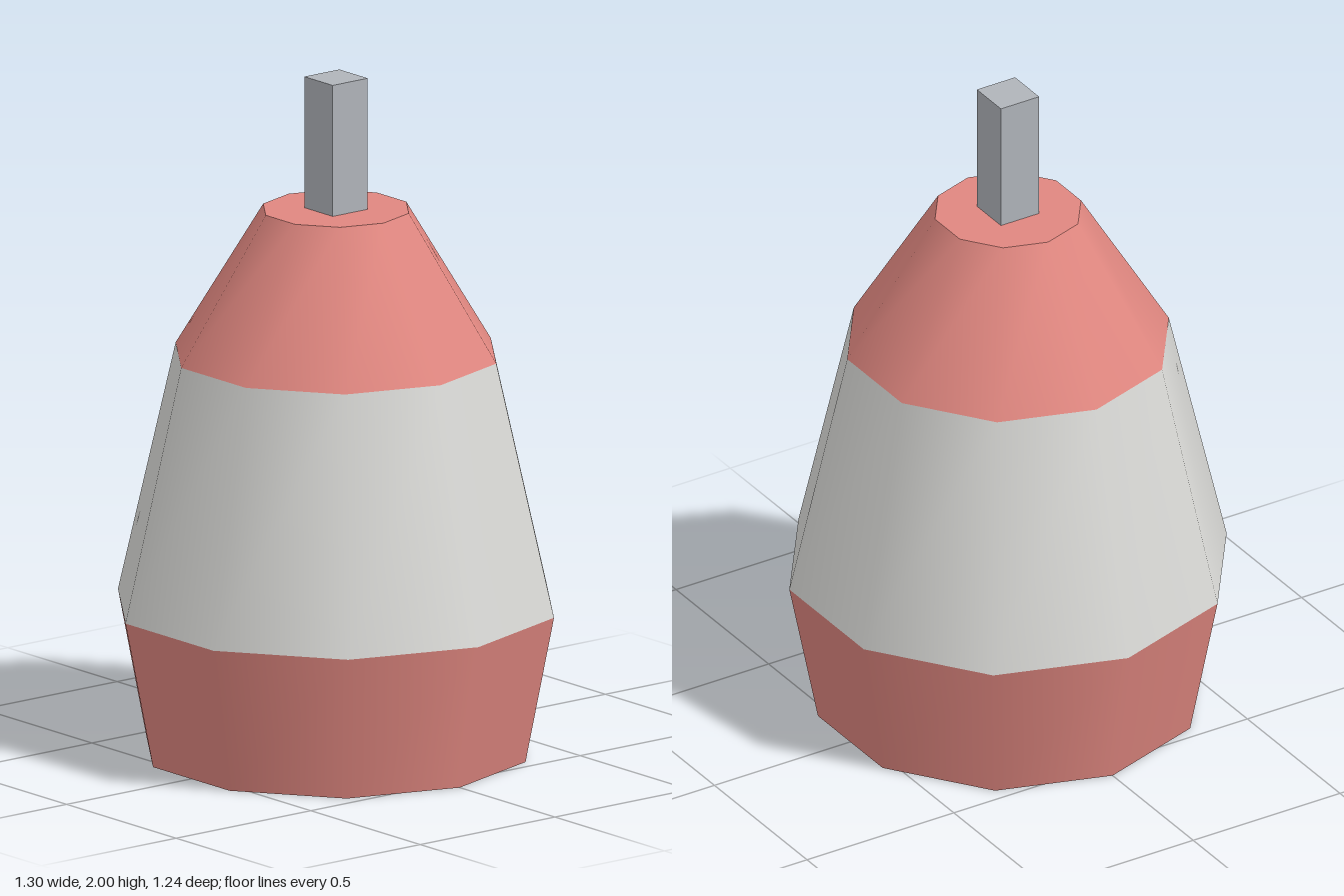
import * as THREE from 'three';

export function createModel() {
  const model = new THREE.Group();
  model.name = 'buoy';

  const red = new THREE.MeshStandardMaterial({ color: 0xe08780 });
  red.name = 'faded red';
  const white = new THREE.MeshStandardMaterial({ color: 0xdadad7 });
  white.name = 'off white';
  const steel = new THREE.MeshStandardMaterial({ color: 0xb0b4ba });
  steel.name = 'grey';

  const SIDES = 10;
  const START = Math.PI / 2; // puts corners on the x axis

  function add(name, geometry, material, y) {
    const mesh = new THREE.Mesh(geometry, material);
    mesh.name = name;
    mesh.position.y = y;
    model.add(mesh);
  }

  // Tapered ten-sided bands of the float: [name, y0, r0, y1, r1, material]
  const bands = [
    ['lowerBand', 0, 0.565, 0.435, 0.65, red],
    ['middleBand', 0.435, 0.65, 1.18, 0.478, white],
    ['upperBand', 1.18, 0.478, 1.61, 0.217, red],
  ];
  for (const [name, y0, r0, y1, r1, material] of bands) {
    add(name, new THREE.CylinderGeometry(r1, r0, y1 - y0, SIDES, 1, true, START), material, (y0 + y1) / 2);
  }

  // Flat ends
  const bottom = new THREE.CircleGeometry(0.565, SIDES).rotateX(Math.PI / 2);
  add('bottomCap', bottom, red, 0);
  const top = new THREE.CircleGeometry(0.217, SIDES).rotateX(-Math.PI / 2);
  add('topCap', top, red, 1.61);

  // Square stick on top
  add('stick', new THREE.BoxGeometry(0.13, 0.39, 0.13), steel, 1.805);

  return model;
}
